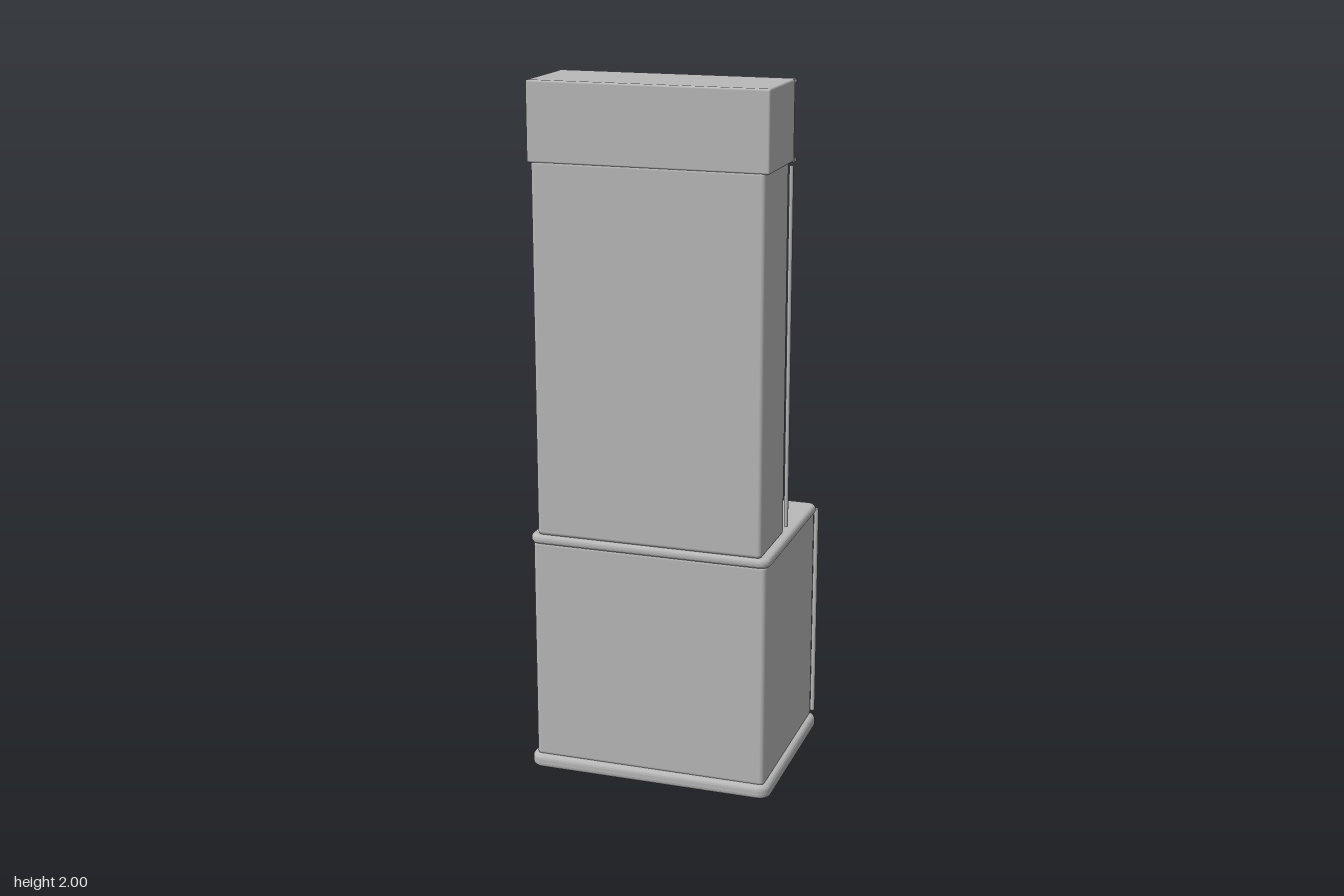
import * as THREE from 'three';
import { RoundedBoxGeometry } from 'three/addons/geometries/RoundedBoxGeometry.js';

export function createModel() {
  const model = new THREE.Group();
  model.name = 'punchBallMachine';
  const grey = new THREE.MeshStandardMaterial({ color: 0xb8b8b8 });
  grey.name = 'grey';

  const add = (name, geometry, x = 0, y = 0, z = 0) => {
    const mesh = new THREE.Mesh(geometry, grey);
    mesh.name = name;
    mesh.position.set(x, y, z);
    model.add(mesh);
    return mesh;
  };

  // Box given by its limits on each axis; r rounds the edges
  const box = (name, [x0, x1], [y0, y1], [z0, z1], r = 0) => {
    const s = [x1 - x0, y1 - y0, z1 - z0];
    const g = r ? new RoundedBoxGeometry(...s, 3, r) : new THREE.BoxGeometry(...s);
    return add(name, g, (x0 + x1) / 2, (y0 + y1) / 2, (z0 + z1) / 2);
  };

  // Flat slab with round corners in plan and a rounded top edge
  const slab = (name, [x0, x1], [y0, y1], [z0, z1], corner, bevel) => {
    const w = (x1 - x0) / 2 - bevel, d = (z1 - z0) / 2 - bevel, c = corner - bevel;
    const s = new THREE.Shape();
    s.absarc(w - c, d - c, c, 0, Math.PI / 2);
    s.absarc(c - w, d - c, c, Math.PI / 2, Math.PI);
    s.absarc(c - w, c - d, c, Math.PI, Math.PI * 1.5);
    s.absarc(w - c, c - d, c, Math.PI * 1.5, Math.PI * 2);
    const g = new THREE.ExtrudeGeometry(s, {
      depth: y1 - y0 - bevel * 2, bevelSize: bevel, bevelThickness: bevel,
      bevelSegments: 4, curveSegments: 6,
    });
    g.rotateX(-Math.PI / 2);
    return add(name, g, (x0 + x1) / 2, y0 + bevel, (z0 + z1) / 2);
  };

  const rod = (name, r, x, [y0, y1], z) =>
    add(name, new THREE.CylinderGeometry(r, r, y1 - y0, 16), x, (y0 + y1) / 2, z);

  // Lower cabinet
  slab('plinth', [-0.362, 0.362], [0, 0.042], [-0.27, 0.283], 0.035, 0.015);
  box('cabinet', [-0.345, 0.345], [0.035, 0.7], [-0.258, 0.27], 0.014);
  box('cabinetDoor', [-0.33, 0.33], [0.07, 0.688], [-0.262, -0.25]);
  slab('cabinetTop', [-0.354, 0.354], [0.692, 0.72], [-0.258, 0.277], 0.03, 0.012);
  slab('topPad', [-0.123, 0.123], [0.718, 0.746], [-0.258, -0.06], 0.016, 0.008);

  // Upper column and header
  box('column', [-0.33, 0.33], [0.718, 1.786], [0.038, 0.27], 0.012);
  box('header', [-0.34, 0.34], [1.778, 2], [0.025, 0.27], 0.006);
  for (const y of [1.783, 1.995])
    box('headerTrim', [-0.343, 0.343], [y - 0.005, y + 0.005], [0.015, 0.033]);

  // Corner trim rods
  for (const side of [-1, 1]) {
    rod('cabinetTrimRod', 0.007, side * 0.349, [0.05, 0.7], -0.26);
    rod('columnTrimRod', 0.006, side * 0.334, [0.738, 1.768], 0.03);
  }

  // Score display and the row of lamps
  box('scoreDisplay', [-0.2, 0.2], [1.522, 1.678], [-0.002, 0.045], 0.004);
  for (let i = 0; i < 10; i++)
    add('lamp', new THREE.SphereGeometry(0.018, 20, 14), -0.218, 0.79 + i * 0.058, 0.028);

  // Arm with hanging ball
  box('arm', [-0.037, 0.037], [1.288, 1.362], [-0.21, 0.045], 0.005);
  const pin = add('armPin', new THREE.CylinderGeometry(0.015, 0.015, 0.094, 20), 0, 1.325, -0.197);
  pin.rotation.z = Math.PI / 2;
  rod('ballRod', 0.008, 0, [1.2, 1.3], -0.195);
  add('punchBall', new THREE.SphereGeometry(0.088, 32, 24), 0, 1.11, -0.195).scale.y = 1.25;

  // Coin plate with two slots and a knob, and a small label
  box('coinPlate', [0.11, 0.23], [0.115, 0.292], [-0.27, -0.255], 0.003);
  for (const x of [0.135, 0.205]) {
    box('coinSlot', [x - 0.018, x + 0.018], [0.204, 0.214], [-0.274, -0.265]);
  }
  const knob = add('coinKnob', new THREE.CylinderGeometry(0.011, 0.011, 0.012, 20), 0.17, 0.145, -0.272);
  knob.rotation.x = Math.PI / 2;
  box('label', [-0.235, -0.15], [0.062, 0.102], [-0.266, -0.255]);

  return model;
}
